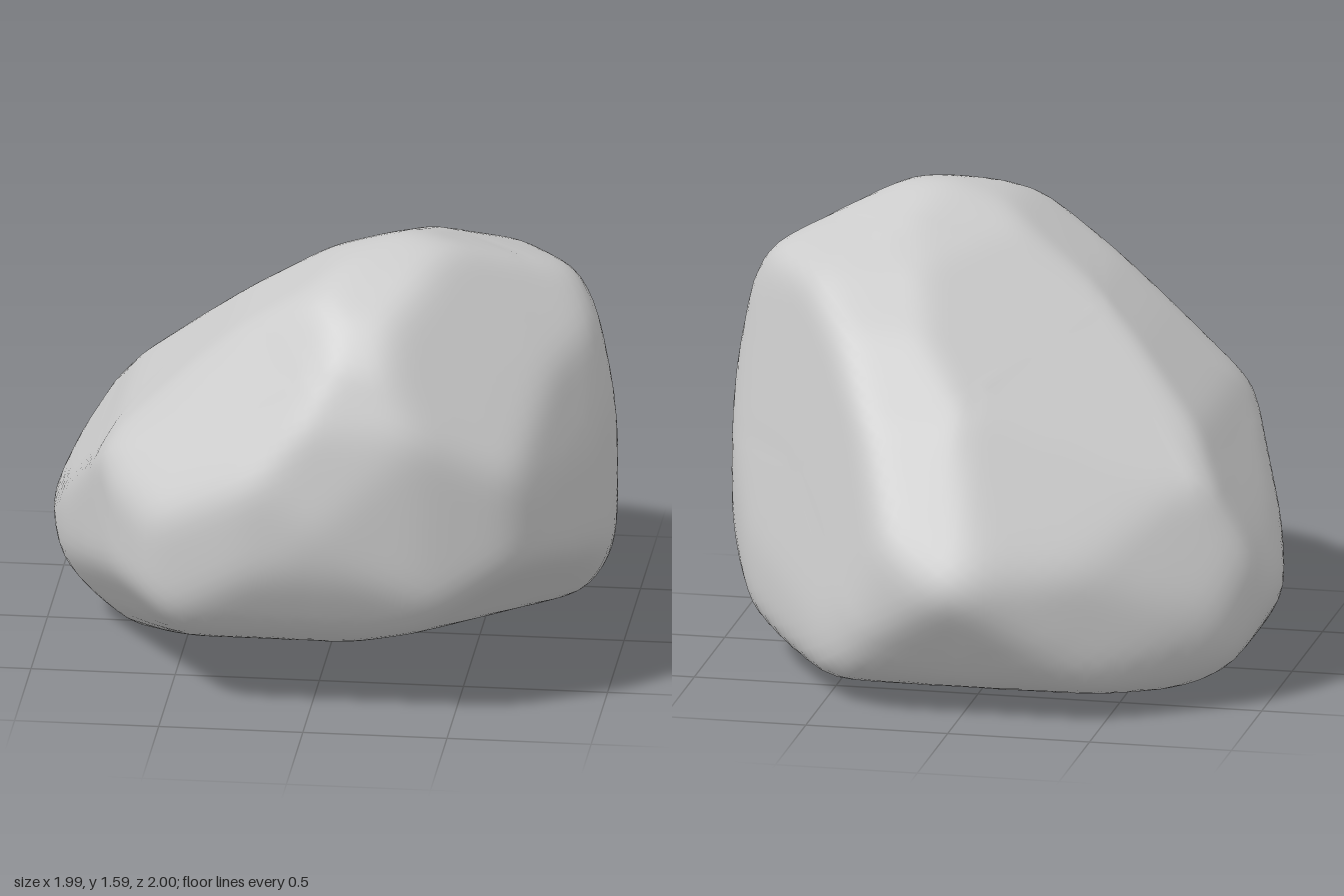
import * as THREE from 'three';
import { mergeVertices } from 'three/addons/utils/BufferGeometryUtils.js';

// Outlines of the boulder: front (x, y), side (z, y) and plan (x, z)
const FRONT = [[-1.01, .37], [-.91, .56], [-.7, .9], [-.45, 1.14], [-.28, 1.29], [0, 1.48], [.07, 1.53], [.28, 1.59],
  [.5, 1.56], [.78, 1.43], [.85, 1.39], [.92, 1.27], [.97, .98], [.99, .67], [.97, .4], [.94, .31], [.85, .16],
  [.7, .1], [.45, .06], [-.28, 0], [-.6, .03], [-.8, .08], [-.87, .13], [-.97, .28]];
const SIDE = [[1, .73], [.94, 1.07], [.85, 1.28], [.73, 1.42], [.53, 1.54], [.35, 1.59], [.13, 1.55], [-.17, 1.4],
  [-.4, 1.24], [-.67, .97], [-.85, .72], [-1.02, .49], [-.98, .42], [-.82, .17], [-.77, .11], [-.65, .07], [-.05, 0],
  [.2, .06], [.45, .15], [.78, .26], [.86, .33], [.95, .5], [.98, .58]];
const PLAN = [[-.02, -1.02], [.13, -.98], [.36, -.86], [.53, -.68], [.88, -.2], [.97, 0], [.99, .18], [.94, .4],
  [.77, .75], [.69, .83], [.4, .94], [.05, 1], [-.22, .97], [-.55, .86], [-.7, .68], [-.8, .46], [-.92, .17],
  [-1.01, -.18], [-.97, -.32], [-.86, -.53], [-.7, -.65], [-.4, -.8]];

// Worn corners: normal and offset of each cutting plane
const CUTS = [
  [.76, .18, -.62, .88],      // back right face
  [.85, .25, .46, 1.21],      // right front face
  [.545, .543, .64, 1.4],     // upper front right
  [.6, .65, .46, 1.48],       // right shoulder
  [-.35, .75, .56, 1.46],     // left shoulder
  [-.5, .55, .67, 1.24],      // upper front left
  [-.25, .9, -.36, 1.265],    // behind the peak
  [.24, .94, -.24, 1.505],    // right of the peak
  [-.4, .8, -.45, 1.1],       // broad back left slope
  [-.375, .61, -.686, 1.05],  // lower back left slope
  [-.6, .35, -.72, 1.03],     // back left ledge
  [.55, -.7, .45, .37],       // lower front right
  [.2, -.94, .28, .015],      // underside, front right
  [-.5, -.6, .6, .62],        // lower front left
  [-.65, -.6, .45, .5],       // lower left
  [-.5, -.6, -.6, .63],       // lower back left
];

const CENTRE = new THREE.Vector3(0, .75, .05);
const WEAR = .008; // depth lost when the edges are worn

// One tangent plane per outline edge, extruded along the missing axis
function outlinePlanes(loop, place, mid) {
  return loop.map(([a, b], i) => {
    const [c, d] = loop[(i + 1) % loop.length];
    const n = new THREE.Vector2(d - b, a - c).normalize();
    if (n.x * (a - mid[0]) + n.y * (b - mid[1]) < 0) n.negate();
    const h = Math.max(...loop.map(([p, q]) => n.x * p + n.y * q));
    return { n: place(n.x, n.y), h: h + WEAR };
  });
}

function boulderGeometry() {
  const planes = [
    ...outlinePlanes(FRONT, (a, b) => new THREE.Vector3(a, b, 0), [0, .75]),
    ...outlinePlanes(SIDE, (a, b) => new THREE.Vector3(0, b, a), [.05, .75]),
    ...outlinePlanes(PLAN, (a, b) => new THREE.Vector3(a, 0, b), [0, .05]),
    ...CUTS.map(([x, y, z, h]) => ({ n: new THREE.Vector3(x, y, z), h })),
  ];
  planes.forEach(p => { p.h -= p.n.dot(CENTRE); });

  let geo = new THREE.IcosahedronGeometry(1, 26);
  geo.deleteAttribute('normal');
  geo.deleteAttribute('uv');
  geo = mergeVertices(geo, 1e-4);
  const pos = geo.attributes.position;
  const dirs = [];
  for (let i = 0; i < pos.count; i++) dirs.push(new THREE.Vector3().fromBufferAttribute(pos, i).normalize());

  // Push every direction out to the nearest plane
  let radius = dirs.map(d => {
    let r = 3;
    for (const { n, h } of planes) {
      const k = n.dot(d);
      if (k > 1e-4) r = Math.min(r, h / k);
    }
    return r;
  });

  // Wear the edges by averaging neighbours
  const near = dirs.map(() => new Set());
  const idx = geo.index.array;
  for (let i = 0; i < idx.length; i += 3) {
    for (let j = 0; j < 3; j++) {
      near[idx[i + j]].add(idx[i + (j + 1) % 3]);
      near[idx[i + (j + 1) % 3]].add(idx[i + j]);
    }
  }
  for (let pass = 0; pass < 5; pass++) {
    radius = radius.map((r, i) => {
      let sum = 0;
      near[i].forEach(j => { sum += radius[j]; });
      return (r + sum / near[i].size) / 2;
    });
  }
  dirs.forEach((d, i) => {
    d.multiplyScalar(radius[i]).add(CENTRE);
    pos.setXYZ(i, d.x, d.y, d.z);
  });

  // Stand it on the ground, centred
  geo.computeBoundingBox();
  const { min, max } = geo.boundingBox;
  geo.translate(-(min.x + max.x) / 2, -min.y, -(min.z + max.z) / 2);
  geo.computeVertexNormals();
  return geo;
}

export function createModel() {
  const group = new THREE.Group();
  group.name = 'rock';
  const boulder = new THREE.Mesh(boulderGeometry(), new THREE.MeshStandardMaterial({ color: 0xcccccc }));
  boulder.name = 'boulder';
  group.add(boulder);
  return group;
}
